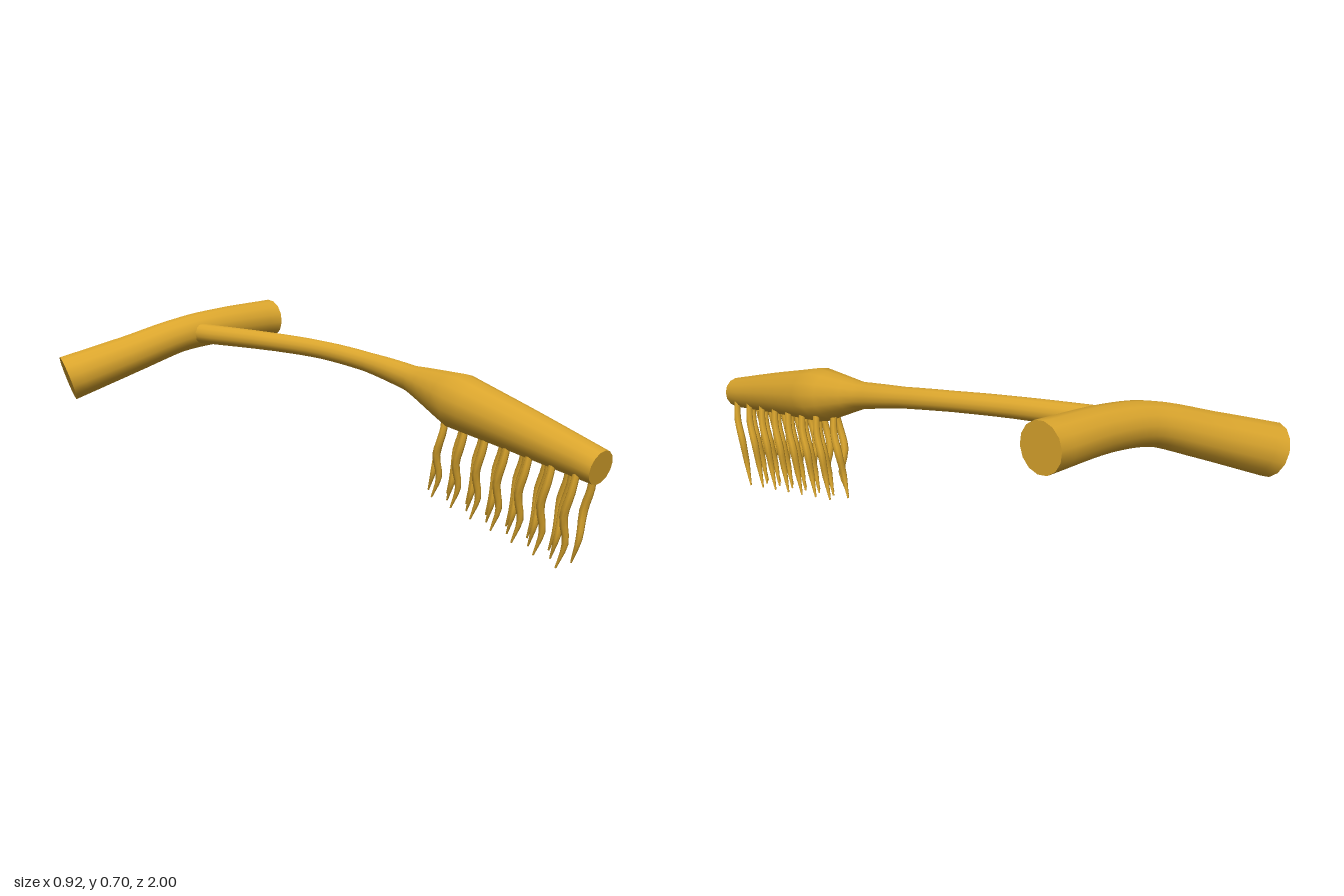
import * as THREE from 'three';

const gold = new THREE.MeshStandardMaterial({ color: 0xdaa52d });
gold.name = 'golden stem';

// Round sweep through [x, y, z, radius] stations, with flat end caps.
function sweep(name, stations, sides, steps) {
  const curve = new THREE.CatmullRomCurve3(
    stations.map(([x, y, z]) => new THREE.Vector3(x, y, z)), false, 'centripetal');
  const spans = stations.length - 1;
  const rings = spans * steps;
  const positions = [];
  const index = [];
  const normal = new THREE.Vector3(0, 1, 0);
  if (Math.abs(curve.getTangent(0).y) > 0.8) normal.set(1, 0, 0);

  for (let i = 0; i <= rings; i++) {
    const u = i / rings;
    const centre = curve.getPoint(u);
    const tangent = curve.getTangent(u);
    normal.addScaledVector(tangent, -normal.dot(tangent)).normalize();
    const side = tangent.clone().cross(normal);
    const k = Math.min(Math.floor(i / steps), spans - 1);
    const radius = THREE.MathUtils.lerp(stations[k][3], stations[k + 1][3], i / steps - k);
    for (let j = 0; j < sides; j++) {
      const a = (j / sides) * Math.PI * 2;
      const p = centre.clone()
        .addScaledVector(normal, radius * Math.cos(a))
        .addScaledVector(side, radius * Math.sin(a));
      positions.push(p.x, p.y, p.z);
    }
  }
  for (let i = 0; i < rings; i++) {
    for (let j = 0; j < sides; j++) {
      const a = i * sides + j;
      const b = i * sides + (j + 1) % sides;
      index.push(a, b, b + sides, a, b + sides, a + sides);
    }
  }
  // end caps own their vertices so that the rim stays sharp
  for (const [ring, flip] of [[0, true], [rings, false]]) {
    const base = positions.length / 3;
    for (let j = 0; j < sides; j++) {
      const s = (ring * sides + j) * 3;
      positions.push(positions[s], positions[s + 1], positions[s + 2]);
    }
    for (let j = 1; j < sides - 1; j++) {
      if (flip) index.push(base, base + j + 1, base + j);
      else index.push(base, base + j, base + j + 1);
    }
  }
  const geometry = new THREE.BufferGeometry();
  geometry.setAttribute('position', new THREE.Float32BufferAttribute(positions, 3));
  geometry.setIndex(index);
  geometry.computeVertexNormals();
  const mesh = new THREE.Mesh(geometry, gold);
  mesh.name = name;
  return mesh;
}

export function createModel() {
  const model = new THREE.Group();
  model.name = 'twigWithCatkin';

  // Thick bent branch at the back
  model.add(sweep('branch', [
    [-0.425, 0.443, -0.917, 0.088],
    [-0.2, 0.522, -0.838, 0.076],
    [0, 0.589, -0.782, 0.068],
    [0.17, 0.612, -0.77, 0.07],
    [0.45, 0.622, -0.78, 0.077],
  ], 14, 5));

  // Thin curved stalk swelling into the tapered head
  model.add(sweep('stalkAndHead', [
    [0.055, 0.597, -0.75, 0.039],
    [0.185, 0.586, -0.4, 0.035],
    [0.255, 0.572, -0.2, 0.034],
    [0.3, 0.547, 0, 0.036],
    [0.323, 0.512, 0.2, 0.047],
    [0.33, 0.465, 0.42, 0.096],
    [0.337, 0.408, 0.7, 0.077],
    [0.345, 0.345, 0.99, 0.057],
  ], 14, 4));

  // Three rows of wavy filaments hanging under the head
  const filaments = new THREE.Group();
  filaments.name = 'filaments';
  const rows = [
    { root: 0.308, bend: -0.012, tip: 0.311, shift: 0 },
    { root: 0.345, bend: 0.012, tip: 0.346, shift: -0.05 },
    { root: 0.385, bend: 0.01, tip: 0.389, shift: 0 },
  ];
  for (const { root, bend, tip, shift } of rows) {
    for (let i = 0; i < 7; i++) {
      const z = 0.935 - i * 0.091 + shift;
      const top = 0.345 + (0.935 - z) * 0.14;
      const end = 0.002 + (0.935 - z) * 0.2;
      const y = (t) => THREE.MathUtils.lerp(top, end, t);
      filaments.add(sweep('filament', [
        [root, y(0), z, 0.011],
        [root + bend, y(0.25), z - 0.012, 0.013],
        [root + bend, y(0.48), z - 0.036, 0.014],
        [tip - bend * 0.4, y(0.75), z - 0.04, 0.011],
        [tip, y(1), z - 0.068, 0.003],
      ], 7, 3));
    }
  }
  model.add(filaments);
  return model;
}
